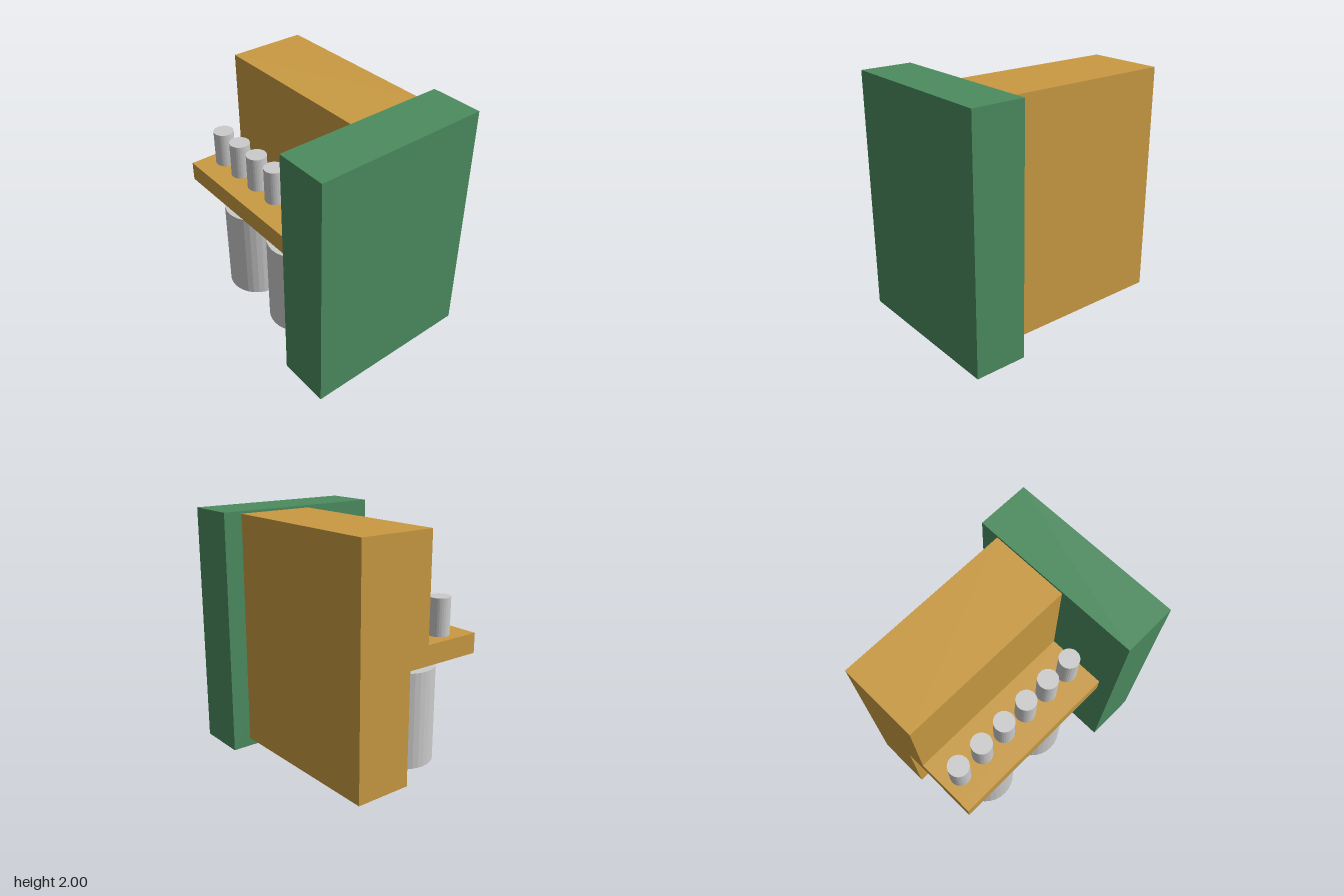
import * as THREE from 'three';

const ORANGE = 0xc99a42, GREEN = 0x4c8b5f, GREY = 0xcccccc;

function addMesh(parent, name, geometry, color, x, y, z) {
  const mesh = new THREE.Mesh(geometry, new THREE.MeshStandardMaterial({ color, flatShading: true }));
  mesh.name = name;
  mesh.position.set(x, y, z);
  parent.add(mesh);
  return mesh;
}

export function createModel() {
  const model = new THREE.Group();
  model.name = 'shelfUnit';

  // Cabinet with projecting counter and recessed base: side profile (z, y) extruded along x
  const profile = [
    [-0.555, 0.07], [-0.09, 0.07], [-0.09, 0.98], [0.578, 0.98],
    [0.578, 1.14], [0.085, 1.14], [0.085, 1.98], [-0.555, 1.98],
  ].map(([z, y]) => new THREE.Vector2(z, y));
  const body = new THREE.ExtrudeGeometry(new THREE.Shape(profile), { depth: 1.45, bevelEnabled: false });
  body.rotateY(-Math.PI / 2);
  addMesh(model, 'cabinetWithCounter', body, ORANGE, 0.51, 0, 0);

  // Tall end panel
  addMesh(model, 'endPanel', new THREE.BoxGeometry(0.43, 2, 1.42), GREEN, 0.723, 1, 0);

  // Row of small canisters on the counter
  const canister = new THREE.CylinderGeometry(0.083, 0.083, 0.295, 32);
  for (let i = 0; i < 6; i++) {
    addMesh(model, `canister${i + 1}`, canister, GREY, -0.79 + i * 0.234, 1.2875, 0.34);
  }

  // Two large drums under the counter
  const drum = new THREE.CylinderGeometry(0.25, 0.25, 0.8, 32);
  [-0.493, 0.107].forEach((x, i) => addMesh(model, `drum${i + 1}`, drum, GREY, x, 0.44, 0.275));

  return model;
}
